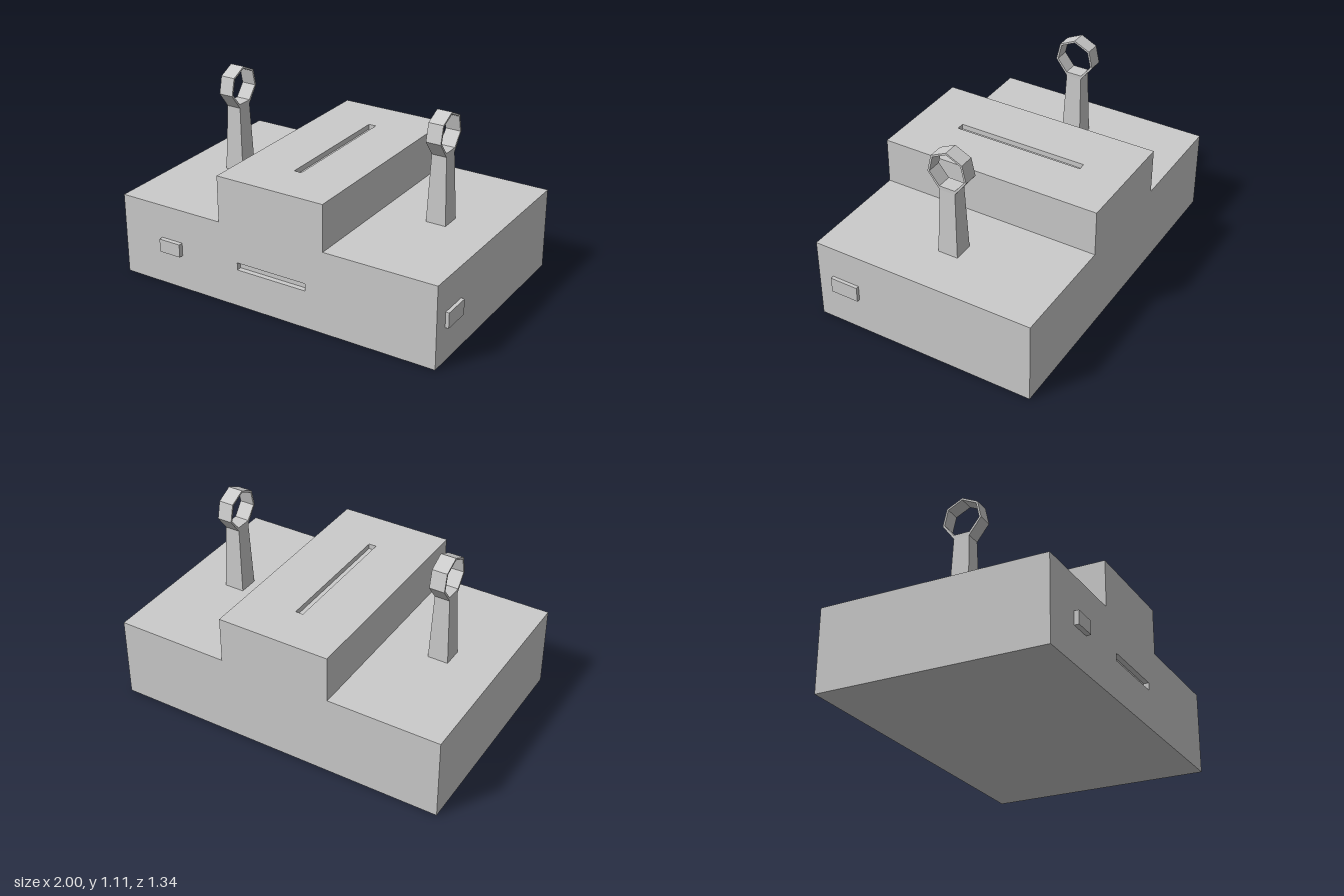
import * as THREE from 'three';

const material = new THREE.MeshStandardMaterial({ color: 0xcccccc, flatShading: true });

function add(parent, name, geometry) {
  const mesh = new THREE.Mesh(geometry, material);
  mesh.name = name;
  parent.add(mesh);
  return mesh;
}

const outline = (pts) => new THREE.Shape(pts.map(([x, y]) => new THREE.Vector2(x, y)));
const rect = (x0, y0, x1, y1) => [[x0, y0], [x1, y0], [x1, y1], [x0, y1]];

// Box given by its minimum and maximum corners
function block(parent, name, [x0, y0, z0], [x1, y1, z1]) {
  const geometry = new THREE.BoxGeometry(x1 - x0, y1 - y0, z1 - z0);
  geometry.translate((x0 + x1) / 2, (y0 + y1) / 2, (z0 + z1) / 2);
  return add(parent, name, geometry);
}

// Flat face with an optional rectangular slot, sunk by depth, facing +z
function slottedPanel(name, pts, slot, depth) {
  const panel = new THREE.Group();
  panel.name = name;
  const shape = outline(pts);
  shape.holes.push(new THREE.Path(slot.map(([x, y]) => new THREE.Vector2(x, y))));
  add(panel, name + 'Face', new THREE.ShapeGeometry(shape));
  add(panel, name + 'SlotFloor', new THREE.ShapeGeometry(outline(slot))).position.z = -depth;
  // Slot walls face inward
  slot.forEach(([x0, y0], i) => {
    const [x1, y1] = slot[(i + 1) % 4];
    const wall = new THREE.PlaneGeometry(Math.hypot(x1 - x0, y1 - y0), depth);
    wall.rotateX(-Math.PI / 2);
    wall.rotateZ(Math.atan2(y1 - y0, x1 - x0));
    wall.translate((x0 + x1) / 2, (y0 + y1) / 2, -depth / 2);
    // Point each wall toward the middle of the slot
    const mesh = add(panel, name + 'SlotWall', wall);
    mesh.material = material.clone();
    mesh.material.side = THREE.DoubleSide;
  });
  return panel;
}

// Stepped body built as a shell so that the slots are real recesses
function createBody() {
  const body = new THREE.Group();
  body.name = 'body';
  const back = -0.67, front = 0.64, length = front - back, midZ = (front + back) / 2;
  const profile = [[-1, 0], [0.98, 0], [0.98, 0.48], [0.315, 0.48],
    [0.315, 0.75], [-0.345, 0.75], [-0.345, 0.48], [-1, 0.48]];

  const frontPanel = slottedPanel('frontPanel', profile, rect(-0.23, 0.222, 0.205, 0.265), 0.03);
  frontPanel.position.z = front;
  body.add(frontPanel);

  const backGeometry = new THREE.ShapeGeometry(outline(profile.map(([x, y]) => [-x, y]).reverse()));
  add(body, 'backPanel', backGeometry.rotateY(Math.PI).translate(0, 0, back));

  const topPanel = slottedPanel('topPanel', rect(-0.345, -front, 0.315, -back),
    rect(-0.035, -0.37, 0.01, 0.405), 0.03);
  topPanel.rotation.x = -Math.PI / 2;
  topPanel.position.y = 0.75;
  body.add(topPanel);

  // Long faces along every profile edge but the slotted top
  const names = ['base', 'leftSide', 'leftDeck', 'leftStep', 'top', 'rightStep', 'rightDeck', 'rightSide'];
  profile.forEach(([x0, y0], i) => {
    if (i === 4) return;
    const [x1, y1] = profile[(i + 1) % profile.length];
    const face = new THREE.PlaneGeometry(Math.hypot(x1 - x0, y1 - y0), length);
    face.rotateX(Math.PI / 2);
    face.rotateZ(Math.atan2(y1 - y0, x1 - x0));
    face.translate((x0 + x1) / 2, (y0 + y1) / 2, midZ);
    add(body, names[i], face);
  });
  return body;
}

// Tapered post carrying a seven-sided ring
function createRingPost(name) {
  const post = new THREE.Group();
  post.name = name;
  const baseY = 0.48, topY = 0.871, width = 0.087, neck = 0.046;

  const stem = new THREE.BoxGeometry(1, topY - baseY, 1);
  const p = stem.attributes.position;
  for (let i = 0; i < p.count; i++) {
    const isTop = p.getY(i) > 0;
    p.setX(i, Math.sign(p.getX(i)) * (isTop ? width / 2 : 0.059));
    p.setZ(i, Math.sign(p.getZ(i)) * (isTop ? neck : 0.059));
  }
  add(post, 'stem', stem.translate(0, (baseY + topY) / 2, 0));

  const heptagon = (r) => Array.from({ length: 7 }, (_, i) => {
    const a = Math.PI / 2 + (i * 2 * Math.PI) / 7;
    return [r * Math.cos(a), 0.99 + r * Math.sin(a)];
  });
  // The lowest outer corners drop to meet the stem
  const outer = heptagon(0.119);
  outer[3] = [-neck, topY];
  outer[4] = [neck, topY];
  const shape = outline(outer);
  shape.holes.push(new THREE.Path(heptagon(0.107).map(([x, y]) => new THREE.Vector2(x, y))));
  const ring = new THREE.ExtrudeGeometry(shape, { depth: width, bevelEnabled: false });
  add(post, 'ring', ring.translate(0, 0, -width / 2).rotateY(Math.PI / 2));
  return post;
}

export function createModel() {
  const model = new THREE.Group();
  model.name = 'slottedBoxWithRings';
  model.add(createBody());

  for (const [name, x] of [['leftRingPost', 0.649], ['rightRingPost', -0.671]]) {
    const post = createRingPost(name);
    post.position.set(x, 0, -0.012);
    model.add(post);
  }

  // Raised buttons
  block(model, 'frontButton', [-0.74, 0.205, 0.64], [-0.603, 0.282, 0.667]);
  block(model, 'sideButton', [0.98, 0.2, 0.38], [1, 0.29, 0.547]);
  return model;
}
